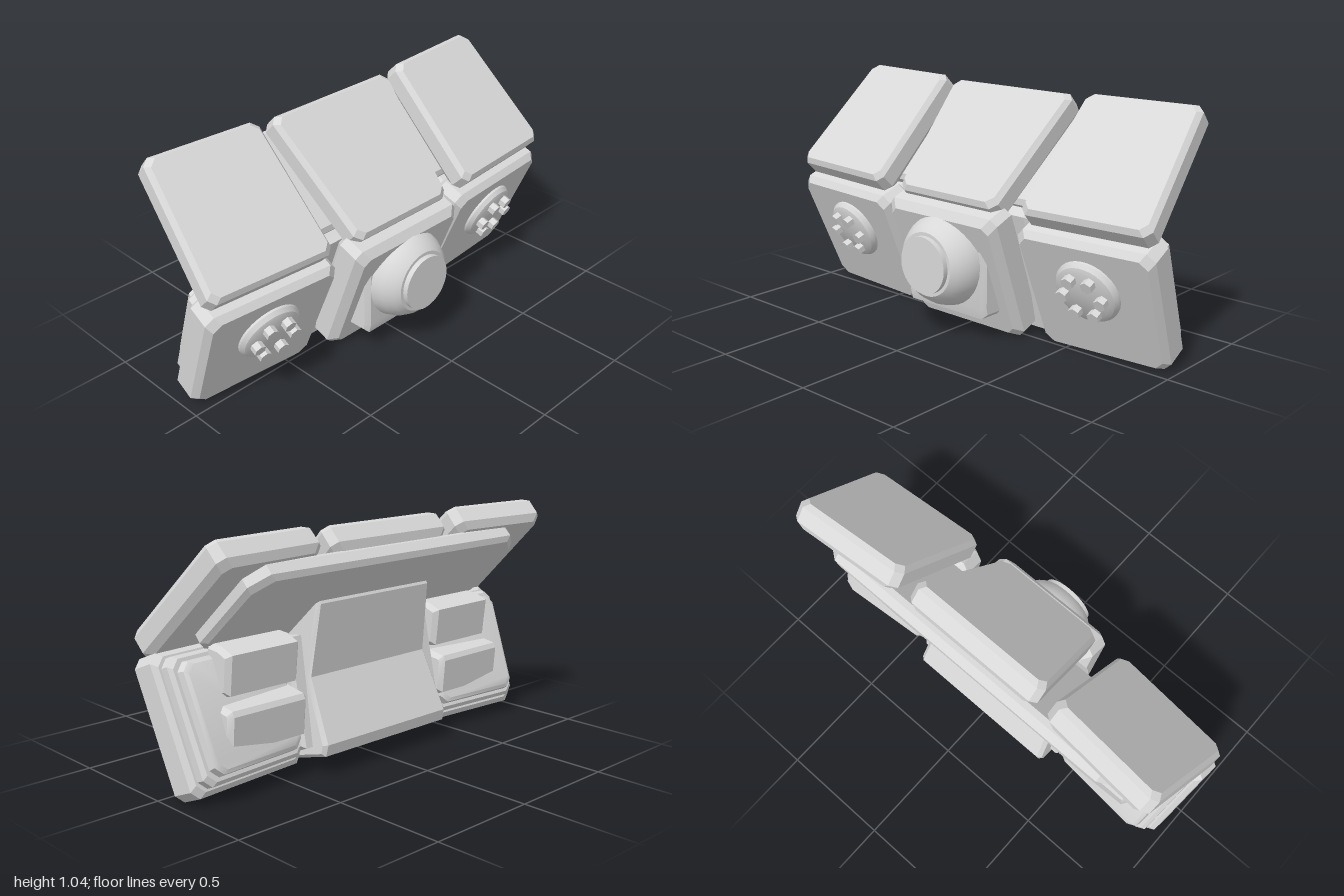
import * as THREE from 'three';
import { toCreasedNormals } from 'three/addons/utils/BufferGeometryUtils.js';

const grey = new THREE.MeshStandardMaterial({ color: 0xd8d8d8 });
grey.name = 'light grey';

function part(name, geometry, parent) {
  const mesh = new THREE.Mesh(toCreasedNormals(geometry, 0.45), grey);
  mesh.name = name;
  parent.add(mesh);
  return mesh;
}

// Chamfered plate: facing +z, x limits at bottom and top, layers of [depth, inset] from front to back.
function plate([bl, br, tl, tr], h, cut, layers) {
  const pos = [];
  const loops = layers.map(([d, s]) => {
    const y = h / 2 - s;
    const quad = [[bl + s, -y], [br - s, -y], [tr - s, y], [tl + s, y]].map(p => new THREE.Vector2(...p));
    return quad.flatMap((p, i) => [quad[(i + 3) % 4], quad[(i + 1) % 4]].map(q => {
      const c = p.clone().add(q.clone().sub(p).setLength(cut));
      return [c.x, c.y, -d];
    }));
  });
  const n = 8;
  for (let k = 0; k < loops.length - 1; k++) {
    const a = loops[k], b = loops[k + 1];
    for (let i = 0; i < n; i++) {
      const j = (i + 1) % n;
      pos.push(...a[i], ...b[i], ...b[j], ...a[i], ...b[j], ...a[j]);
    }
  }
  const f = loops[0], e = loops[loops.length - 1];
  for (let i = 1; i < n - 1; i++) pos.push(...f[0], ...f[i], ...f[i + 1], ...e[0], ...e[i + 1], ...e[i]);
  const g = new THREE.BufferGeometry();
  g.setAttribute('position', new THREE.Float32BufferAttribute(pos, 3));
  g.computeVertexNormals();
  return g;
}

// Block from a (z, y) side profile, extruded across x with a small bevel.
function block(profile, cx, w, b = 0.015) {
  const shape = new THREE.Shape(profile.map(p => new THREE.Vector2(...p)));
  const g = new THREE.ExtrudeGeometry(shape, {
    depth: w - 2 * b, bevelSize: b, bevelThickness: b, bevelOffset: -b, bevelSegments: 1,
  });
  g.rotateY(-Math.PI / 2);
  g.translate(cx + w / 2 - b, 0, 0);
  return g;
}

// Round part whose axis points along +z, from [radius, z] points.
function turned(points) {
  const g = new THREE.LatheGeometry(points.map(p => new THREE.Vector2(...p)), 32);
  return g.rotateX(Math.PI / 2);
}

function frame(name, parent, x, y, z, tilt, yaw = 0) {
  const g = new THREE.Group();
  g.name = name;
  g.position.set(x, y, z);
  g.rotation.set(tilt, yaw, 0, 'YXZ');
  parent.add(g);
  return g;
}

const mirror = (q, s) => (s > 0 ? q : [-q[1], -q[0], -q[3], -q[2]]);

export function createModel() {
  const model = new THREE.Group();
  model.name = 'armourBelt';

  // Centre: lower panel, upper panel and the wide plate behind the upper row
  const lower = frame('centreLower', model, 0, 0.27, 0.16, 0.36);
  part('centreLowerPanel', plate([-0.3, 0.3, -0.308, 0.308], 0.6, 0.03,
    [[0, 0.03], [0.035, 0], [0.13, 0], [0.16, 0.03]]), lower);
  const upper = frame('centreUpper', model, 0, 0.82, -0.01, -0.81);
  part('centreUpperPanel', plate([-0.275, 0.275, -0.34, 0.34], 0.62, 0.03,
    [[-0.008, 0.018], [0.015, 0], [0.085, 0], [0.115, 0.025]]), upper);
  const back = part('upperBackPlate', plate([-0.81, 0.81, -0.77, 0.77], 0.5, 0.07,
    [[0.11, 0.02], [0.13, 0], [0.175, 0], [0.195, 0.02]]), upper);
  back.position.y = 0.05;

  // Bent block at the back of the centre, widening towards its foot
  const spine = block([[0.08, 0.55], [-0.02, 0.61], [-0.18, 0.74], [-0.195, 0.71],
    [-0.155, 0.4], [-0.275, 0.14], [-0.265, 0.09], [-0.05, 0.03]], 0, 0.66, 0.015);
  const p = spine.attributes.position;
  for (let i = 0; i < p.count; i++) p.setX(i, p.getX(i) * (1.15 - 0.2 * p.getY(i)));
  part('centreBackBlock', spine, model);

  // Buckle: wedge mount, dome and flat cap
  part('buckleMount', block([[0.2, 0.107], [0.21, 0.15], [0.21, 0.42], [0.1, 0.45], [0.03, 0.107]], 0, 0.45, 0.02), model);
  const buckle = part('buckleDome', turned([[0.205, 0.1], [0.205, 0.21], [0.19, 0.26], [0.165, 0.3],
    [0.14, 0.322], [0.125, 0.322], [0.125, 0.345], [0, 0.345]]), model);
  buckle.position.y = 0.335;

  for (const s of [1, -1]) {
    const side = s > 0 ? 'left' : 'right';

    // Lower side panel with stepped back
    const low = frame(side + 'Lower', model, s * 0.685, 0.258, 0.075, 0.39, s * 0.08);
    const outline = mirror([-0.3, 0.295, -0.32, 0.312], s);
    part(side + 'LowerPanel', plate(outline, 0.58, 0.035,
      [[0, 0.022], [0.03, 0], [0.13, 0], [0.15, 0.02]]), low);
    part(side + 'LowerBackStep', plate(outline, 0.58, 0.035,
      [[0.14, 0.03], [0.185, 0.03], [0.2, 0.045], [0.2, 0.06], [0.23, 0.065], [0.24, 0.08]]), low);

    // Round pad with six hexagonal studs
    const pad = part(side + 'Pad', turned([[0.145, -0.01], [0.145, 0.01], [0.132, 0.028],
      [0.11, 0.038], [0, 0.04]]), low);
    pad.position.set(-s * 0.005, 0.067, 0);
    for (let i = 0; i < 6; i++) {
      const a = i * Math.PI / 3;
      const stud = part(side + 'Stud', new THREE.CylinderGeometry(0.027, 0.027, 0.06, 6).rotateX(Math.PI / 2), low);
      stud.position.set(0.088 * Math.cos(a) - s * 0.005, 0.067 + 0.088 * Math.sin(a), 0.042);
    }

    // Upper side panel
    const up = frame(side + 'Upper', model, s * 0.69, 0.83, -0.04, -0.81, s * 0.08);
    part(side + 'UpperPanel', plate(mirror([-0.307, 0.285, -0.272, 0.264], s), 0.625, 0.03,
      [[-0.008, 0.018], [0.015, 0], [0.085, 0], [0.115, 0.025]]), up);

    // Link to the centre and two pouches at the back
    part(side + 'Link', block([[0.04, 0.55], [-0.1, 0.57], [-0.2, 0.12], [-0.08, 0.07]], s * 0.35, 0.14), model);
    part(side + 'UpperPouch', block([[-0.03, 0.6], [-0.11, 0.595], [-0.175, 0.57], [-0.158, 0.405],
      [-0.11, 0.395], [-0.03, 0.42]], s * 0.59, 0.37, 0.02), model);
    part(side + 'LowerPouch', block([[-0.05, 0.39], [-0.13, 0.375], [-0.205, 0.362], [-0.217, 0.34],
      [-0.205, 0.19], [-0.1, 0.15]], s * 0.605, 0.4, 0.02), model);
  }
  return model;
}
